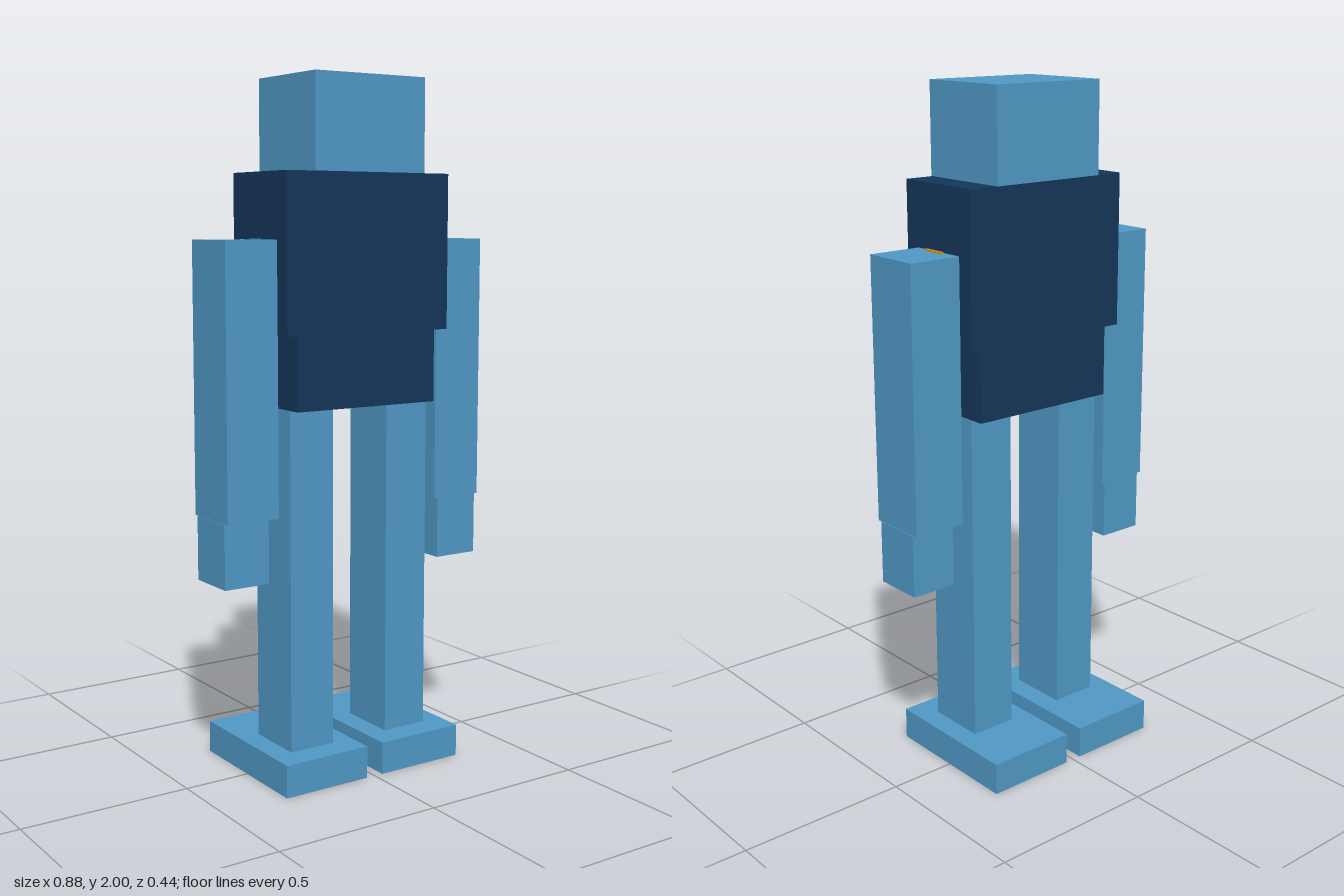
import * as THREE from 'three';

const paint = (color) => new THREE.MeshStandardMaterial({ color });

export function createModel() {
  const model = new THREE.Group();
  const blue = paint(0x5099c6);
  const navy = paint(0x14365a);
  const gold = paint(0xd9951e);
  const teal = paint(0x1479a8);

  // Box given by its extents along x, y and z
  function block(name, [x0, x1], [y0, y1], [z0, z1], material) {
    const mesh = new THREE.Mesh(new THREE.BoxGeometry(x1 - x0, y1 - y0, z1 - z0), material);
    mesh.position.set((x0 + x1) / 2, (y0 + y1) / 2, (z0 + z1) / 2);
    mesh.name = name;
    model.add(mesh);
  }

  // Head and body
  block('head', [-0.185, 0.183], [1.735, 2], [-0.1, 0.193], blue);
  block('torso', [-0.274, 0.273], [1.29, 1.735], [-0.095, 0.188], navy);
  block('pelvis', [-0.235, 0.233], [1.08, 1.29], [-0.083, 0.18], navy);

  // Limbs, mirrored left and right
  for (const [side, s] of [['left', 1], ['right', -1]]) {
    const span = (inner, outer) => (s > 0 ? [inner, outer] : [-outer, -inner]);
    block(side + 'Arm', span(0.273, 0.436), [0.78, 1.55], [-0.045, 0.138], blue);
    block(side + 'Hand', span(0.297, 0.438), [0.595, 0.78], [-0.03, 0.123], blue);
    block(side + 'Leg', span(0.093, 0.236), [0.095, 1.08], [-0.043, 0.14], blue);
    block(side + 'Foot', span(0.027, 0.301), [0, 0.095], [-0.223, 0.22], blue);
    // Thin hip tab just showing below the pelvis
    block(side + 'HipTab', span(0.044, 0.05), [1.07, 1.1], [0.02, 0.075], s > 0 ? gold : teal);
  }

  // Thin shoulder tabs just showing above the arms
  block('leftShoulderTab', [0.284, 0.292], [1.52, 1.556], [0.01, 0.083], gold);
  block('rightShoulderTab', [-0.293, -0.286], [1.52, 1.554], [0.02, 0.072], teal);

  return model;
}
